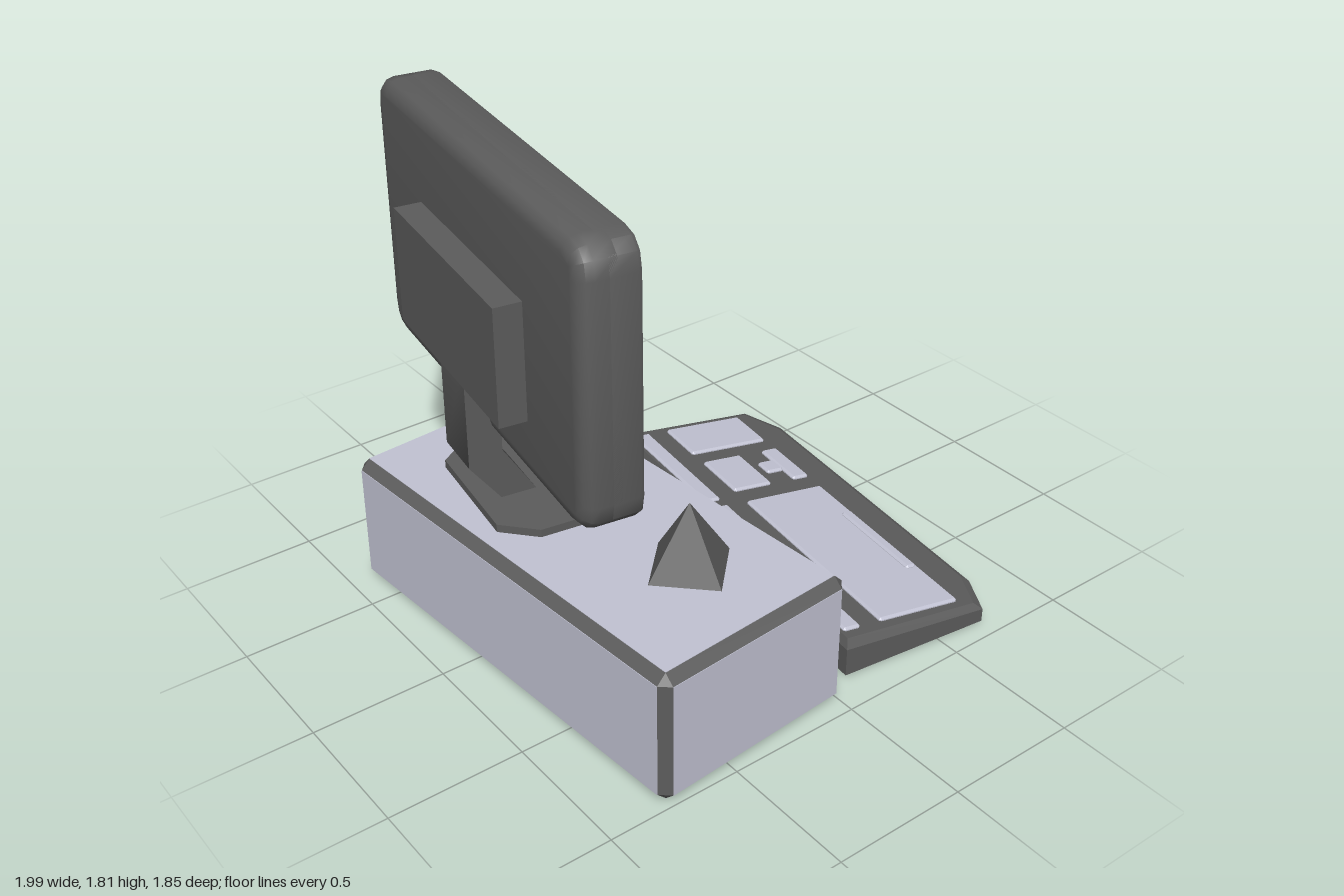
import * as THREE from 'three';
import { toCreasedNormals } from 'three/addons/utils/BufferGeometryUtils.js';
import { ConvexGeometry } from 'three/addons/geometries/ConvexGeometry.js';

const material = (color) => new THREE.MeshStandardMaterial({ color });
const dark = material(0x5c5c5c);
const grey = material(0xc2c3d3);
const teal = material(0x6cc8c4);

function add(parent, name, geometry, mat, x = 0, y = 0, z = 0) {
  const mesh = new THREE.Mesh(geometry, mat);
  mesh.name = name;
  mesh.position.set(x, y, z);
  parent.add(mesh);
  return mesh;
}

function turnedGroup(parent, name, x, y, z, angle) {
  const group = new THREE.Group();
  group.name = name;
  group.position.set(x, y, z);
  group.rotation.y = angle;
  parent.add(group);
  return group;
}

const box = (w, h, d) => new THREE.BoxGeometry(w, h, d);
const polygon = (points) => new THREE.Shape(points.map(([x, y]) => new THREE.Vector2(x, y)));

// Rectangle with rounded corners, centred on the origin
function roundedRect(w, h, r) {
  const s = new THREE.Shape();
  const x = w / 2, y = h / 2;
  s.moveTo(-x + r, -y).lineTo(x - r, -y).quadraticCurveTo(x, -y, x, -y + r);
  s.lineTo(x, y - r).quadraticCurveTo(x, y, x - r, y);
  s.lineTo(-x + r, y).quadraticCurveTo(-x, y, -x, y - r);
  s.lineTo(-x, -y + r).quadraticCurveTo(-x, -y, -x + r, -y);
  return s;
}

// Extrusion filling z0..z1, its bevel kept inside the outline
function slab(shape, z0, z1, bevel = 0, bevelSegments = 1) {
  const g = new THREE.ExtrudeGeometry(shape, {
    depth: z1 - z0 - 2 * bevel, curveSegments: 3, bevelEnabled: bevel > 0,
    bevelThickness: bevel, bevelSize: bevel, bevelOffset: -bevel, bevelSegments,
  });
  g.translate(0, 0, z0 + bevel);
  return toCreasedNormals(g, 0.65);
}

// Box with chamfered edges and corners
function chamferBox(w, h, d, c) {
  const points = [];
  for (const i of [-1, 1]) for (const j of [-1, 1]) for (const k of [-1, 1]) {
    const x = w / 2, y = h / 2, z = d / 2;
    points.push(
      new THREE.Vector3(i * x, j * (y - c), k * (z - c)),
      new THREE.Vector3(i * (x - c), j * y, k * (z - c)),
      new THREE.Vector3(i * (x - c), j * (y - c), k * z));
  }
  return new ConvexGeometry(points);
}

function buildCase(parent) {
  const g = turnedGroup(parent, 'computerCase', 0.125, 0.255, 0.45, 0.077);
  const w = 1.685, h = 0.506, d = 0.81, c = 0.035, e = 0.004;
  add(g, 'caseEdges', chamferBox(w, h, d, c), dark);
  // Light panels on all six faces
  add(g, 'sidePanels', box(w + e, h - 2 * c, d - 2 * c), grey);
  add(g, 'topAndBottomPanels', box(w - 2 * c, h + e, d - 2 * c), grey);
  add(g, 'longPanels', box(w - 2 * c, h - 2 * c, d + e), grey);
  add(g, 'discDrive', box(0.49, 0.075, 0.04), dark, -0.29, 0.115, -0.405);
  const button = add(g, 'powerButton', new THREE.SphereGeometry(0.06, 12, 8), teal, -0.675, 0.115, -0.405);
  button.scale.z = 0.55;
}

function buildMonitor(parent) {
  const g = turnedGroup(parent, 'monitor', -0.18, 0, 0.57, -0.156);
  const w = 1.64, h = 0.995, y = 1.308;

  // Housing: rounded back shell and a bezel ring round the screen
  add(g, 'backShell', slab(roundedRect(w, h, 0.11), -0.08, 0.105, 0.055, 3), dark, 0, y);
  const ring = roundedRect(w, h, 0.11);
  ring.holes.push(roundedRect(1.36, 0.83, 0.07));
  add(g, 'bezel', slab(ring, -0.105, 0.02, 0.015, 2), dark, 0, y);
  add(g, 'screen', slab(roundedRect(1.39, 0.86, 0.07), -0.094, -0.04), teal, 0, y);
  add(g, 'backPanel', box(0.84, 0.43, 0.13), dark, -0.01, 1.245, 0.14);

  // Bent neck, drawn in side profile (depth, height)
  const profile = polygon([[0.19, 1.1], [0.065, 1.1], [0.065, 0.73], [-0.06, 0.53], [0.07, 0.53], [0.19, 0.69]]);
  const neck = slab(profile, -0.1, 0.1);
  neck.rotateY(-Math.PI / 2);
  add(g, 'neck', neck, dark, -0.015);

  // Eight-sided foot
  const foot = slab(polygon([[-0.33, -0.08], [-0.23, -0.2], [0.23, -0.2], [0.33, -0.08],
    [0.33, 0.08], [0.23, 0.2], [-0.23, 0.2], [-0.33, 0.08]]), 0, 0.04);
  foot.rotateX(-Math.PI / 2);
  add(g, 'foot', foot, dark, 0, 0.5, -0.04);
}

function buildKeyboard(parent) {
  // Local -z runs from the edge nearest the case towards the user
  const g = turnedGroup(parent, 'keyboard', 0.08, 0, -0.1875, -0.117);
  const points = [];
  for (const s of [-1, 1]) {
    for (const [x, y, v] of [
      [0.79, 0.01, 0], [0.79, 0.01, 0.6], [0.625, 0.01, 0.672],
      [0.79, 0.12, 0], [0.77, 0.152, 0.015],
      [0.79, 0.062, 0.6], [0.76, 0.078, 0.58], [0.625, 0.055, 0.672], [0.6, 0.069, 0.65],
    ]) points.push(new THREE.Vector3(s * x, y, -v));
  }
  add(g, 'keyboardBody', new ConvexGeometry(points), dark);

  // Raised key blocks: x0, x1, v0, v1, lift above the sloping top
  const blocks = {
    numberPad: [-0.74, -0.53, 0.18, 0.53, 0.012],
    navigationKeys: [-0.455, -0.218, 0.183, 0.357, 0.012],
    arrowRow: [-0.455, -0.218, 0.46, 0.533, 0.012],
    arrowUp: [-0.375, -0.295, 0.39, 0.465, 0.012],
    letterKeys: [-0.133, 0.73, 0.18, 0.53, 0.012],
    spaceBar: [0.085, 0.5, 0.475, 0.52, 0.022],
    functionKeysRight: [-0.736, -0.184, 0.025, 0.097, 0.012],
    functionKeysMiddle: [-0.137, 0.516, 0.025, 0.097, 0.012],
    escapeKey: [0.588, 0.733, 0.025, 0.097, 0.012],
  };
  const slope = 0.13;
  for (const [name, [x0, x1, v0, v1, lift]] of Object.entries(blocks)) {
    const v = (v0 + v1) / 2;
    const key = add(g, name, chamferBox(x1 - x0, 0.04, v1 - v0, 0.008), grey,
      (x0 + x1) / 2, 0.154 - slope * v + lift - 0.02, -v);
    key.rotation.x = -Math.atan(slope);
  }
}

export function createModel() {
  const model = new THREE.Group();
  model.name = 'desktopComputer';
  buildCase(model);
  buildMonitor(model);
  buildKeyboard(model);

  // Small four-sided pyramid standing on the case
  const pyramid = new THREE.ConeGeometry(0.172, 0.255, 4).toNonIndexed();
  pyramid.computeVertexNormals();
  add(model, 'pyramid', pyramid, dark, 0.575, 0.635, 0.367);
  return model;
}
